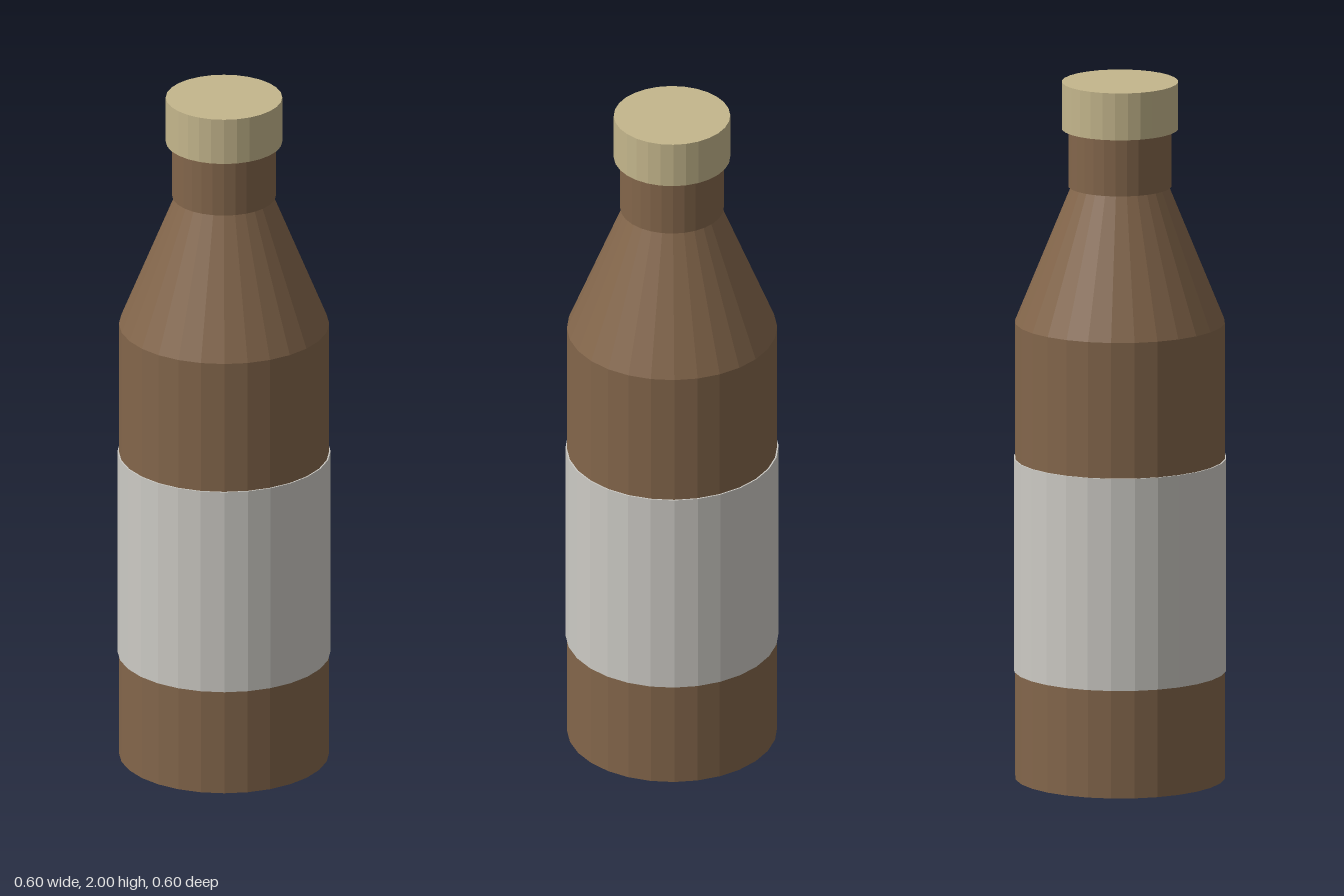
import * as THREE from 'three';

const SIDES = 28;

function material(color) {
  return new THREE.MeshStandardMaterial({ color, flatShading: true });
}

// Upright round section between two heights
function section(name, rBottom, rTop, y0, y1, mat) {
  const geometry = new THREE.CylinderGeometry(rTop, rBottom, y1 - y0, SIDES);
  const mesh = new THREE.Mesh(geometry, mat);
  mesh.name = name;
  mesh.position.y = (y0 + y1) / 2;
  return mesh;
}

export function createModel() {
  const glass = material(0x83664b);
  const paper = material(0xcccac4);
  const metal = material(0xc4b68c);

  const bottle = new THREE.Group();
  bottle.name = 'bottle';
  bottle.add(
    section('body', 0.296, 0.296, 0, 1.31, glass),
    section('shoulder', 0.296, 0.137, 1.31, 1.7, glass),
    // The neck is slightly wider than the shoulder top
    section('neck', 0.146, 0.146, 1.7, 1.865, glass),
    section('cap', 0.164, 0.164, 1.865, 2, metal),
    // Paper band standing just proud of the body
    section('label', 0.3, 0.3, 0.31, 0.92, paper)
  );
  return bottle;
}
